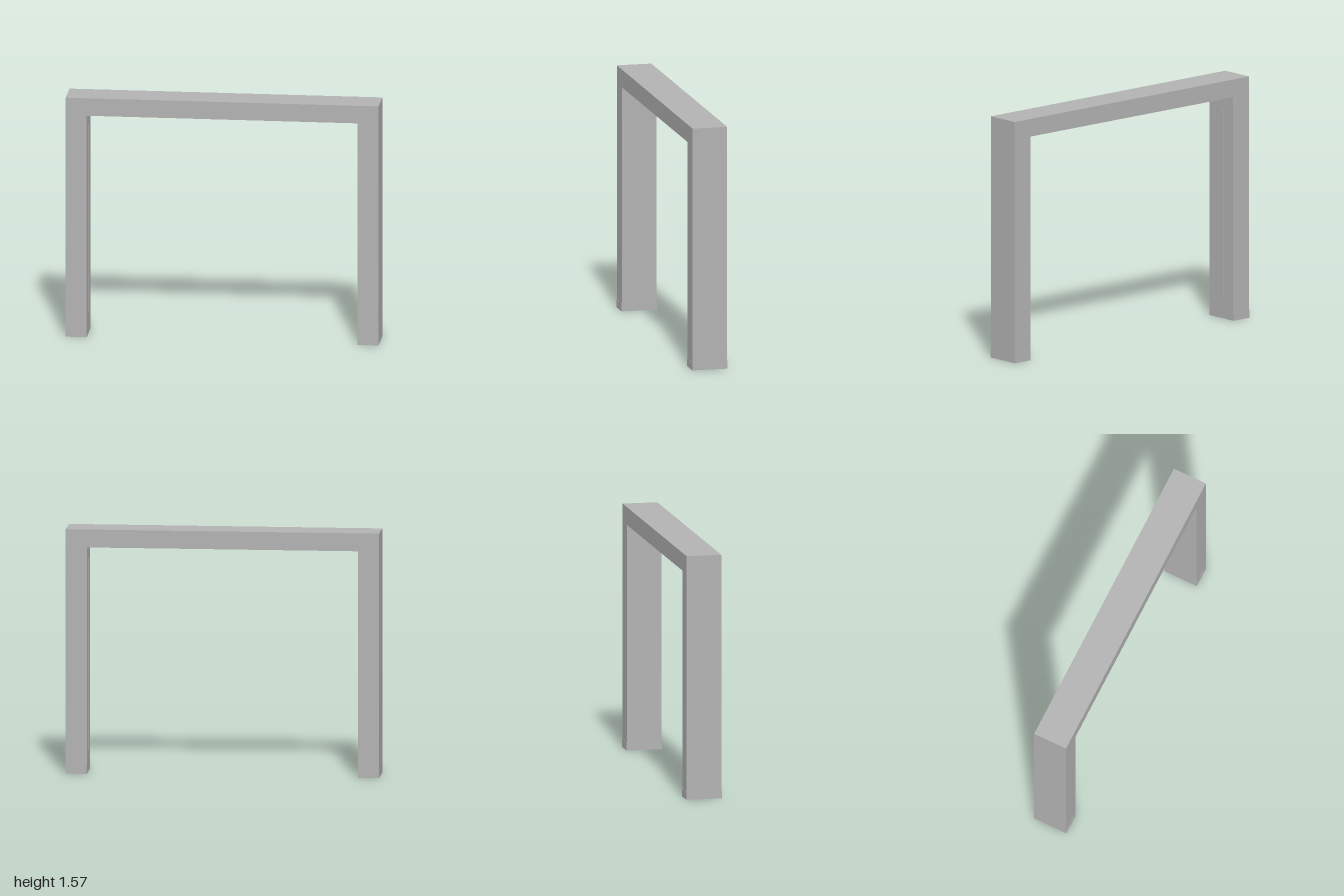
import * as THREE from 'three';

export function createModel() {
  const group = new THREE.Group();
  group.name = 'portalFrame';
  const grey = new THREE.MeshStandardMaterial({ color: 0xb2b2b2 });
  grey.name = 'grey';

  const W = 1, H = 1.57, inner = 0.865, under = 1.455, depth = 0.226, footH = 0.05;

  // Upright posts and top beam in one piece
  const outline = new THREE.Shape([
    [-W, footH], [-inner, footH], [-inner, under], [inner, under],
    [inner, footH], [W, footH], [W, H], [-W, H],
  ].map(([x, y]) => new THREE.Vector2(x, y)));
  const frameGeo = new THREE.ExtrudeGeometry(outline, { depth, bevelEnabled: false });
  frameGeo.translate(0, 0, -depth / 2);
  const frame = new THREE.Mesh(frameGeo, grey);
  frame.name = 'frame';
  group.add(frame);

  const addBox = (name, w, h, d, x, y) => {
    const mesh = new THREE.Mesh(new THREE.BoxGeometry(w, h, d), grey);
    mesh.name = name;
    mesh.position.set(x, y, 0);
    group.add(mesh);
  };

  // Feet, a hair deeper than the posts, and thin strips on the inner faces
  for (const [side, s] of [['left', 1], ['right', -1]]) {
    addBox(side + 'Foot', W - inner, footH, depth + 0.004, s * (W + inner) / 2, footH / 2);
    addBox(side + 'Strip', 0.006, 1.22, 0.036, s * inner, 0.75);
  }
  addBox('beamStrip', 2 * inner, 0.006, 0.04, 0, under);

  return group;
}
